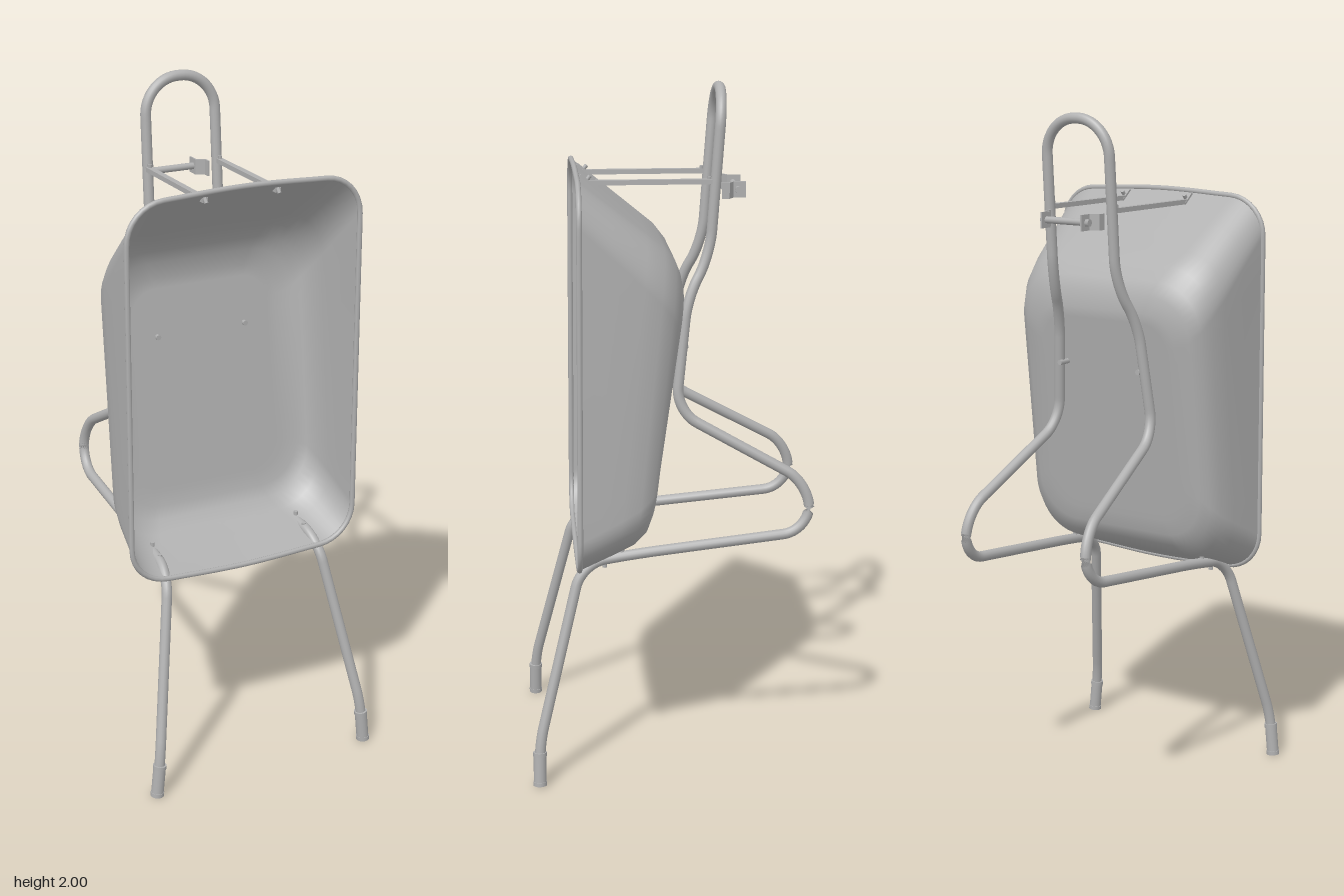
import * as THREE from 'three';

const V = (x, y, z) => new THREE.Vector3(x, y, z);
const steel = new THREE.MeshStandardMaterial({ color: 0xb0b0b0, side: THREE.DoubleSide });
steel.name = 'grey steel';

function add(parent, name, geometry, position) {
  const mesh = new THREE.Mesh(geometry, steel);
  mesh.name = name;
  if (position) mesh.position.copy(position);
  parent.add(mesh);
  return mesh;
}

// Cylinder between two points
function rod(parent, name, a, b, r, sides = 16) {
  const mesh = add(parent, name, new THREE.CylinderGeometry(r, r, a.distanceTo(b), sides));
  mesh.position.copy(a).add(b).multiplyScalar(0.5);
  mesh.quaternion.setFromUnitVectors(V(0, 1, 0), b.clone().sub(a).normalize());
  return mesh;
}

// Path through corner points, each rounded by its own bend length
function bentPath(corners) {
  const path = new THREE.CurvePath();
  let from = corners[0][0];
  for (let i = 1; i < corners.length - 1; i++) {
    const [p, bend] = corners[i];
    const before = corners[i - 1][0].clone().sub(p).setLength(bend).add(p);
    const after = corners[i + 1][0].clone().sub(p).setLength(bend).add(p);
    const k = 0.55;
    path.add(new THREE.LineCurve3(from, before));
    path.add(new THREE.CubicBezierCurve3(before, before.clone().lerp(p, k), after.clone().lerp(p, k), after));
    from = after;
  }
  path.add(new THREE.LineCurve3(from, corners[corners.length - 1][0]));
  return path;
}

// Rounded rectangular section of the tray, tilted in z from bottom to top
function traySection([y0, y1, w, r, z0, z1, dip]) {
  const centres = [[w - r, y1 - r], [r - w, y1 - r], [r - w, y0 + r], [w - r, y0 + r]];
  const pts = [];
  centres.forEach(([cx, cy], c) => {
    for (let i = 0; i <= 10; i++) {
      const a = (c + i / 10) * Math.PI / 2;
      pts.push([cx + r * Math.cos(a), cy + r * Math.sin(a)]);
    }
    const [ex, ey] = pts[pts.length - 1];
    const a = (c + 1) * Math.PI / 2;
    const [nx, ny] = centres[(c + 1) % 4];
    const tx = nx + r * Math.cos(a), ty = ny + r * Math.sin(a);
    for (let i = 1; i < 10; i++) pts.push([ex + (tx - ex) * i / 10, ey + (ty - ey) * i / 10]);
  });
  return pts.map(([x, y]) => {
    const t = y1 > y0 ? (y - y0) / (y1 - y0) : 0;
    const sag = w > 0 ? Math.cos(Math.min(1, Math.abs(x) / w) * Math.PI / 2) ** 2 : 0;
    return V(x, y + dip * sag * (1 - 2 * t), z0 + (z1 - z0) * t);
  });
}

function loft(rings) {
  const n = rings[0].length, index = [];
  for (let j = 0; j < rings.length - 1; j++) {
    for (let i = 0; i < n; i++) {
      const k = (i + 1) % n, a = j * n + i, b = j * n + k;
      index.push(a, b, a + n, b, b + n, a + n);
    }
  }
  const g = new THREE.BufferGeometry().setFromPoints(rings.flat());
  g.setIndex(index);
  g.computeVertexNormals();
  return g;
}

export function createModel() {
  const model = new THREE.Group();
  model.name = 'wheelbarrow';

  // Tray: rim, sloping walls, rounded edge, flat floor
  const rings = [
    [0.632, 1.75, 0.362, 0.11, 0.275, 0.267, -0.012],
    [0.652, 1.675, 0.356, 0.12, 0.22, 0.17, -0.008],
    [0.672, 1.60, 0.35, 0.13, 0.165, 0.075, -0.004],
    [0.69, 1.562, 0.34, 0.14, 0.115, 0.025, 0],
    [0.72, 1.52, 0.322, 0.14, 0.08, -0.008, 0],
    [0.755, 1.48, 0.295, 0.13, 0.064, -0.024, 0],
    [0.80, 1.43, 0.25, 0.10, 0.056, -0.034, 0],
    [0.83, 1.40, 0.22, 0.08, 0.052, -0.03, 0],
    [1.1, 1.1, 0, 0, 0.013, 0.013, 0],
  ].map(traySection);
  add(model, 'tray', loft(rings));
  const rim = new THREE.CatmullRomCurve3(rings[0], true);
  add(model, 'trayRim', new THREE.TubeGeometry(rim, 160, 0.008, 8, true));

  // Frame: one tube from handle to handle
  const half = [
    [V(0.348, 0.02, 0.4), 0],
    [V(0.337, 0.13, 0.397), 0.04],
    [V(0.247, 0.645, 0.268), 0.07],
    [V(0.238, 0.668, 0.1), 0.06],
    [V(0.222, 0.718, -0.398), 0.075],
    [V(0.214, 0.86, -0.4), 0.075],
    [V(0.172, 1.075, -0.012), 0.07],
    [V(0.142, 1.4, -0.048), 0.06],
    [V(0.112, 1.52, -0.115), 0.07],
    [V(0.11, 1.985, -0.15), 0.105],
  ];
  const mirrored = half.map(([p, b]) => [V(-p.x, p.y, p.z), b]).reverse();
  add(model, 'frameTube', new THREE.TubeGeometry(bentPath([...half, ...mirrored]), 480, 0.0155, 14));

  for (const s of [1, -1]) {
    const side = new THREE.Group();
    side.name = s > 0 ? 'leftFittings' : 'rightFittings';
    model.add(side);

    // Handle grip with end rings
    rod(side, 'grip', V(s * 0.35, 0, 0.4), V(s * 0.34, 0.1, 0.399), 0.0185);
    rod(side, 'gripEnd', V(s * 0.35, 0, 0.4), V(s * 0.349, 0.012, 0.4), 0.02);
    rod(side, 'gripCollar', V(s * 0.341, 0.088, 0.399), V(s * 0.34, 0.1, 0.399), 0.02);

    // Flat strut from tray wall to frame, with a foot on the wall
    add(side, 'strut', new THREE.BoxGeometry(0.018, 0.014, 0.365), V(s * 0.113, 1.73, 0.058));
    const foot = add(side, 'strutFoot', new THREE.BoxGeometry(0.02, 0.006, 0.045), V(s * 0.113, 1.739, 0.236));
    foot.rotation.x = -0.67;
    rod(side, 'strutBolt', V(s * 0.113, 1.722, 0.248), V(s * 0.113, 1.75, 0.226), 0.006, 6);
    rod(side, 'frameBolt', V(s * 0.113, 1.73, -0.112), V(s * 0.113, 1.745, -0.112), 0.006, 6);

    // Axle bracket: stepped strip and end plate
    const arm = new THREE.Shape();
    [[0.098, -0.15], [0.098, -0.172], [0.073, -0.186], [0.073, -0.222], [0.068, -0.222],
      [0.068, -0.183], [0.093, -0.169], [0.093, -0.15]]
      .forEach(([x, z], i) => (i ? arm.lineTo(s * x, -z) : arm.moveTo(s * x, -z)));
    const bracket = add(side, 'axleBracket',
      new THREE.ExtrudeGeometry(arm, { depth: 0.046, bevelEnabled: false }), V(0, 1.677, 0));
    bracket.rotation.x = -Math.PI / 2;
    rod(side, 'axleNut', V(s * 0.073, 1.7, -0.2), V(s * 0.085, 1.7, -0.2), 0.011, 6);

    // Bolts through the tray floor and the lower wall
    rod(side, 'floorBolt', V(s * 0.142, 1.26, 0), V(s * 0.142, 1.26, -0.05), 0.008, 8);
    for (const z of [0.15, 0.2]) {
      const y = 0.672 - (z - 0.165) * 0.36;
      rod(side, 'wallBolt', V(s * 0.24, y + 0.012, z), V(s * 0.24, y - 0.03, z), 0.007, 8);
    }
  }

  // Wheel axle between the brackets
  rod(model, 'axle', V(-0.068, 1.7, -0.2), V(0.068, 1.7, -0.2), 0.01);
  return model;
}
